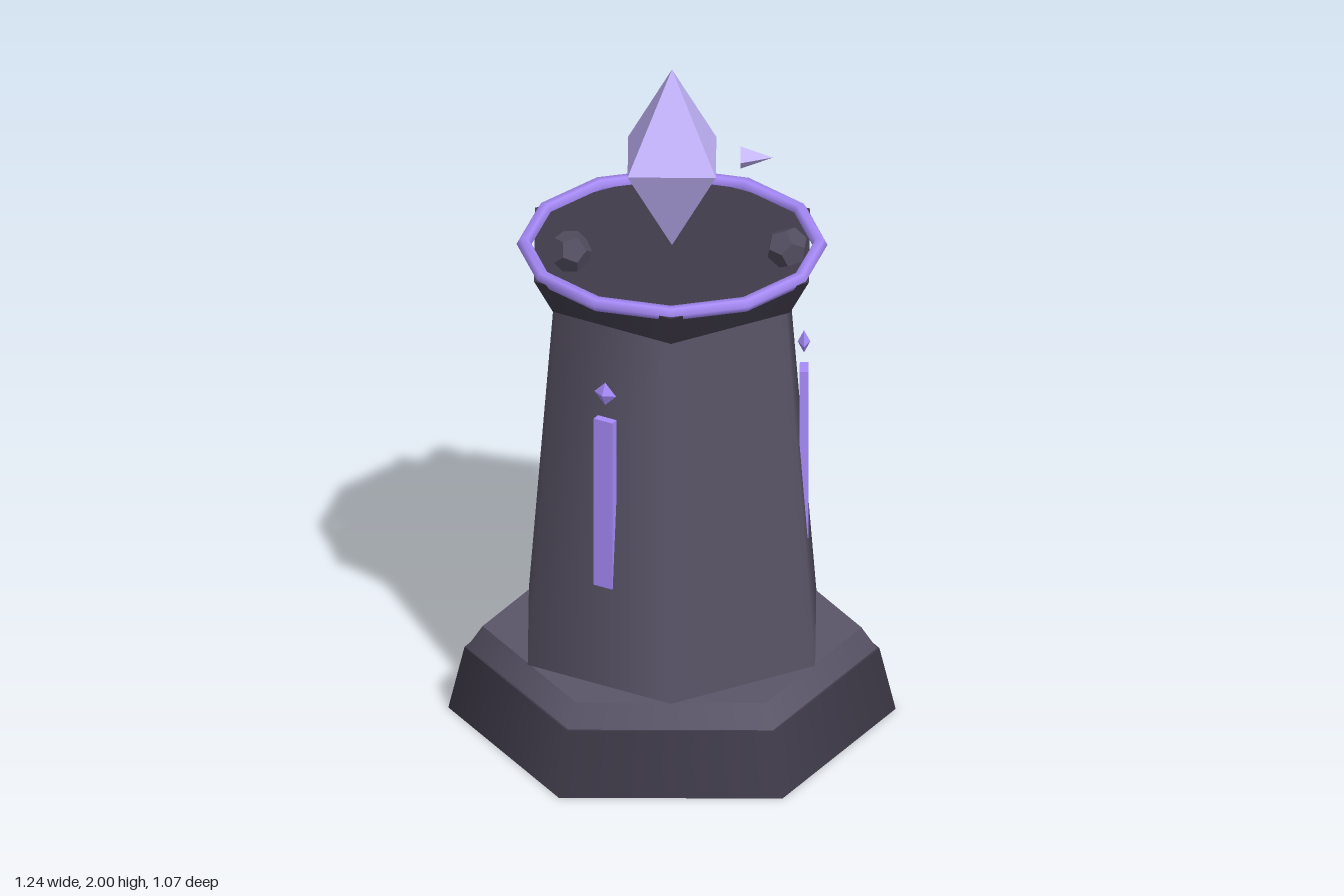
import * as THREE from 'three';

const mat = (color, flatShading = false) => {
  const m = new THREE.MeshStandardMaterial({ color });
  m.flatShading = flatShading;
  return m;
};

export function createModel() {
  const tower = new THREE.Group();
  tower.name = 'crystalTower';

  const darkStone = mat(0x3f3b4a);
  const stone = mat(0x5a5568);
  const rockStone = mat(0x524d5f, true);
  const glow = mat(0xa78bfa, true);
  const crystalMat = mat(0xc4b5fd, true);

  const add = (name, geometry, material, x = 0, y = 0, z = 0, parent = tower) => {
    const mesh = new THREE.Mesh(geometry, material);
    mesh.name = name;
    mesh.position.set(x, y, z);
    parent.add(mesh);
    return mesh;
  };

  // Tapered six-sided block between two heights
  const hexBlock = (name, rTop, rBottom, y0, y1, material, turn) => {
    const geometry = new THREE.CylinderGeometry(rTop, rBottom, y1 - y0, 6);
    add(name, geometry, material, 0, (y0 + y1) / 2).rotation.y = turn;
  };

  // Stonework: the plinth has corners on x, the shaft and cap on z
  hexBlock('base', 0.575, 0.62, 0, 0.19, darkStone, Math.PI / 6);
  hexBlock('step', 0.525, 0.568, 0.19, 0.255, stone, Math.PI / 6);
  hexBlock('shaft', 0.365, 0.46, 0.255, 1.34, stone, 0);
  hexBlock('cap', 0.44, 0.38, 1.34, 1.45, darkStone, 0);

  // Glowing ring on the cap
  const ring = new THREE.TorusGeometry(0.41, 0.021, 6, 12);
  add('ring', ring, mat(0xa78bfa), 0, 1.452).rotation.x = Math.PI / 2;

  // Floating main crystal: two four-sided cones, base to base
  const crystal = new THREE.Group();
  crystal.name = 'crystal';
  crystal.position.y = 1.725;
  crystal.rotation.y = Math.PI / 4;
  tower.add(crystal);
  const half = new THREE.ConeGeometry(0.173, 0.275, 4, 1, true);
  add('crystalTop', half, crystalMat, 0, 0.1375, 0, crystal);
  add('crystalBottom', half, crystalMat, 0, -0.1375, 0, crystal).rotation.x = Math.PI;

  // Small shard pointing outwards
  add('shard', new THREE.ConeGeometry(0.035, 0.09, 4), crystalMat, 0.235, 1.725, 0)
    .rotation.z = -Math.PI / 2;

  // Loose rocks around the rim: x, y, z, radius, turn
  const rocks = [
    [-0.28, 1.54, 0.21, 0.06, 0.5],
    [0.32, 1.515, 0.135, 0.06, 1.2],
    [-0.045, 1.515, -0.35, 0.06, 2.1],
  ];
  for (const [x, y, z, r, turn] of rocks) {
    add('rock', new THREE.DodecahedronGeometry(r), rockStone, x, y, z)
      .rotation.set(turn, turn * 0.7, 0);
  }

  // Glowing slit and gem on every other shaft face
  for (let i = 0; i < 3; i++) {
    const rune = new THREE.Group();
    rune.name = 'rune';
    rune.rotation.y = (i * Math.PI * 2) / 3;
    tower.add(rune);
    add('slit', new THREE.BoxGeometry(0.024, 0.52, 0.06), glow, 0.366, 0.81, 0, rune);
    add('gem', new THREE.OctahedronGeometry(0.035), glow, 0.366, 1.15, 0, rune)
      .scale.x = 0.5;
  }

  return tower;
}
